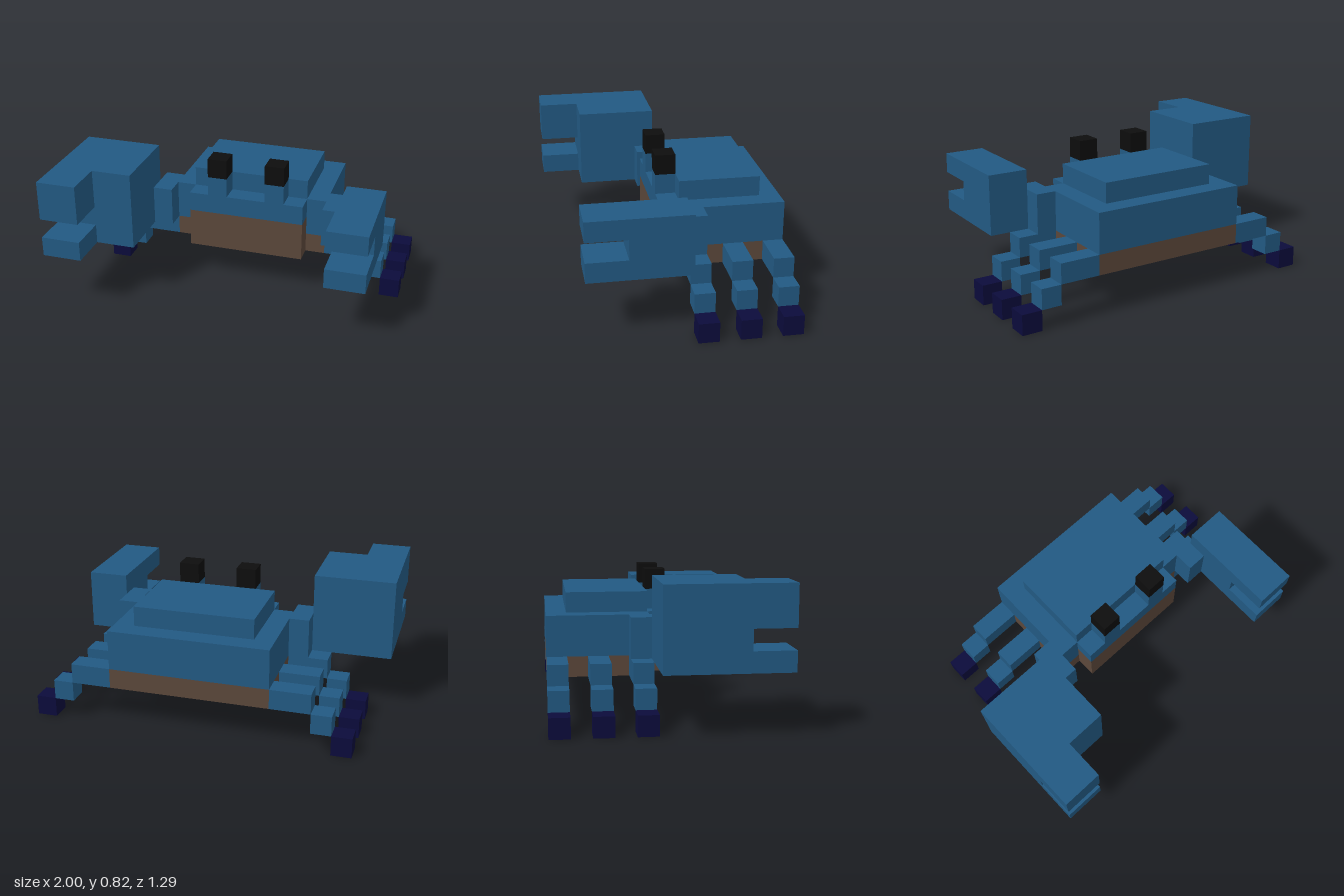
import * as THREE from 'three';

const U = 2 / 17; // one block; the model spans 17 x 7 x 11 blocks

export function createModel() {
  const crab = new THREE.Group();
  crab.name = 'crab';

  const mat = (name, color) => {
    const m = new THREE.MeshStandardMaterial({ color });
    m.name = name;
    return m;
  };
  const shell = mat('shellBlue', 0x225982);
  const belly = mat('bellyBrown', 0x5b473a);
  const eye = mat('eyeBlack', 0x0d0d0d);
  const claw = mat('footNavy', 0x0b0b3b);

  // Box from block ranges, counted from the right, bottom and back
  const box = (parent, name, material, [x0, x1], [y0, y1], [z0, z1]) => {
    const mesh = new THREE.Mesh(
      new THREE.BoxGeometry((x1 - x0) * U, (y1 - y0) * U, (z1 - z0) * U), material);
    mesh.position.set(((x0 + x1) / 2 - 8.5) * U, ((y0 + y1) / 2) * U, ((z0 + z1) / 2 - 5.5) * U);
    mesh.name = name;
    parent.add(mesh);
  };
  const group = (name) => {
    const g = new THREE.Group();
    g.name = name;
    crab.add(g);
    return g;
  };

  // Body
  const body = group('body');
  box(body, 'shell', shell, [5, 13], [3, 5], [0, 5]);
  box(body, 'shellTop', shell, [6, 12], [5, 6], [1, 5]);
  box(body, 'brow', shell, [6, 12], [4, 5], [5, 6]);
  box(body, 'belly', belly, [5, 13], [2, 3], [0, 5]);
  box(body, 'face', belly, [6, 12], [2, 4], [5, 6]);

  // Eyes on stalks
  for (const [side, x] of [['right', 7], ['left', 10]]) {
    const g = group(side + 'Eye');
    box(g, 'eyeStalk', shell, [x, x + 1], [5, 6], [5, 6]);
    box(g, 'eyeball', eye, [x, x + 1], [6, 7], [5, 6]);
  }

  // Three stepped legs per side, mirrored about the body centre at block 9
  for (const side of ['right', 'left']) {
    const span = (a, b) => (side === 'left' ? [9 + a, 9 + b] : [9 - b, 9 - a]);
    for (const z of [0, 2, 4]) {
      const leg = group(side + 'Leg');
      box(leg, 'upperLeg', shell, span(4, 6), [2, 3], [z, z + 1]);
      box(leg, 'lowerLeg', shell, span(6, 7), [1, 2], [z, z + 1]);
      box(leg, 'foot', claw, span(7, 8), [0, 1], [z, z + 1]);
    }
    box(crab, side + 'Arm', shell, span(4, 5), [3, 5], [4, 6]);
  }

  // Large right pincer
  const big = group('rightPincer');
  box(big, 'palm', shell, [0, 4], [3, 7], [5, 9]);
  box(big, 'upperFinger', shell, [0, 2], [5, 7], [9, 11]);
  box(big, 'lowerFinger', shell, [0, 2], [3, 4], [9, 11]);

  // Small left pincer
  const small = group('leftPincer');
  box(small, 'palm', shell, [14, 16], [3, 6], [5, 8]);
  box(small, 'upperFinger', shell, [14, 16], [5, 6], [8, 10]);
  box(small, 'lowerFinger', shell, [14, 16], [3, 4], [8, 10]);

  return crab;
}
